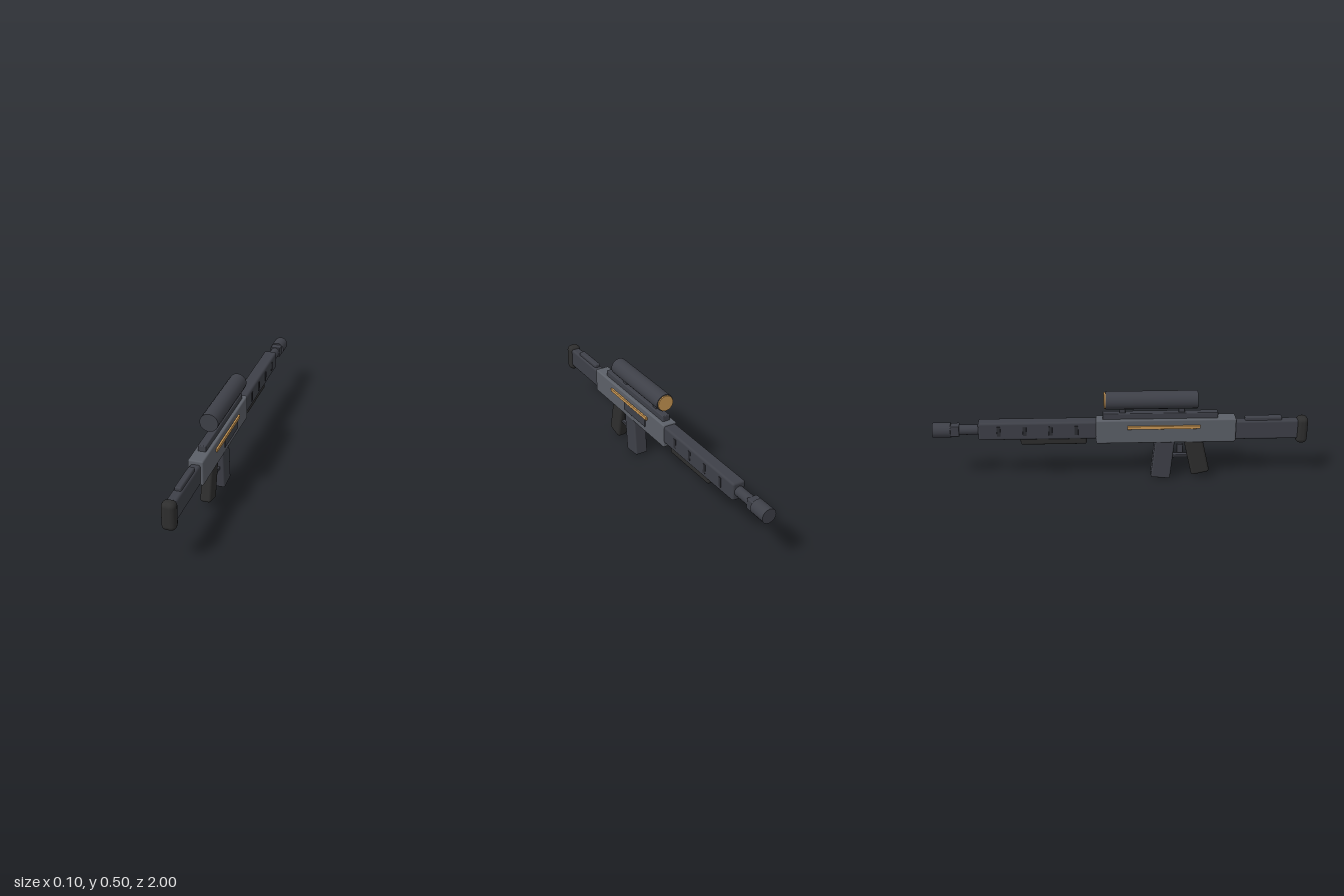
import * as THREE from 'three';
import { RoundedBoxGeometry } from 'three/addons/geometries/RoundedBoxGeometry.js';

const mat = (color) => new THREE.MeshStandardMaterial({ color });

export function createModel() {
  const root = new THREE.Group();
  const steel = mat(0x5c6068), gun = mat(0x3e4048), rubber = mat(0x2e2e2e);
  const dark = mat(0x2c2d33), brass = mat(0xcc9955);

  const add = (name, geometry, material, x, y, z, tilt = 0) => {
    const mesh = new THREE.Mesh(geometry, material);
    mesh.name = name;
    mesh.position.set(x, y, z);
    mesh.rotation.x = tilt;
    root.add(mesh);
    return mesh;
  };
  // Softened box given by its y and z extents
  const block = (name, material, width, [y0, y1], [z0, z1], bevel = 0.006, x = 0) =>
    add(name, new RoundedBoxGeometry(width, y1 - y0, z1 - z0, 2, bevel), material,
      x, (y0 + y1) / 2, (z0 + z1) / 2);
  // Cylinder lying along z
  const tube = (name, material, radius, y, z0, z1, sides = 16) =>
    add(name, new THREE.CylinderGeometry(radius, radius, z1 - z0, sides), material,
      0, y, (z0 + z1) / 2, Math.PI / 2);

  // Body and stock
  block('receiver', steel, 0.08, [0.222, 0.356], [-0.136, 0.61], 0.008);
  block('stock', gun, 0.052, [0.228, 0.336], [0.6, 0.95], 0.012);
  block('cheekRest', gun, 0.034, [0.325, 0.355], [0.66, 0.858], 0.008);
  block('buttPad', rubber, 0.072, [0.2, 0.35], [0.938, 1], 0.026);

  // Handguard with side slots and lower grip
  block('handguard', gun, 0.072, [0.249, 0.348], [-0.76, -0.125], 0.012);
  for (const z of [-0.24, -0.377, -0.514, -0.651])
    for (const side of [-1, 1])
      block('handguardSlot', dark, 0.008, [0.274, 0.327], [z - 0.01, z + 0.01], 0.002, side * 0.0345);
  block('lowerGrip', rubber, 0.056, [0.215, 0.262], [-0.538, -0.185], 0.012);

  // Barrel
  tube('barrel', gun, 0.027, 0.299, -0.92, -0.74);
  block('barrelCollar', gun, 0.058, [0.27, 0.329], [-0.908, -0.86], 0.005);
  tube('muzzle', gun, 0.04, 0.299, -1, -0.905);

  // Rail and scope
  block('rail', gun, 0.043, [0.35, 0.387], [-0.1, 0.514], 0.005);
  for (const z of [0.005, 0.32])
    block('scopeMount', gun, 0.022, [0.38, 0.425], [z - 0.016, z + 0.016], 0.003);
  tube('scope', gun, 0.0485, 0.456, -0.085, 0.403, 18);
  tube('scopeLens', brass, 0.044, 0.456, -0.093, -0.08, 18);

  // Side trims and ejection port
  for (const side of [-1, 1])
    block('sideTrim', brass, 0.012, [0.306, 0.324], [0.03, 0.418], 0.002, side * 0.0435);
  block('ejectionPort', gun, 0.012, [0.255, 0.324], [0.05, 0.276], 0.003, 0.039);

  // Grip, magazine and trigger
  add('pistolGrip', new RoundedBoxGeometry(0.058, 0.22, 0.1, 2, 0.014), rubber, 0, 0.135, 0.405, -0.22);
  add('magazine', new RoundedBoxGeometry(0.073, 0.235, 0.105, 2, 0.009), gun, 0, 0.126, 0.222, 0.1);
  block('trigger', gun, 0.016, [0.147, 0.197], [0.298, 0.332], 0.003);
  block('triggerGuard', gun, 0.03, [0.122, 0.138], [0.25, 0.39], 0.003);

  return root;
}
